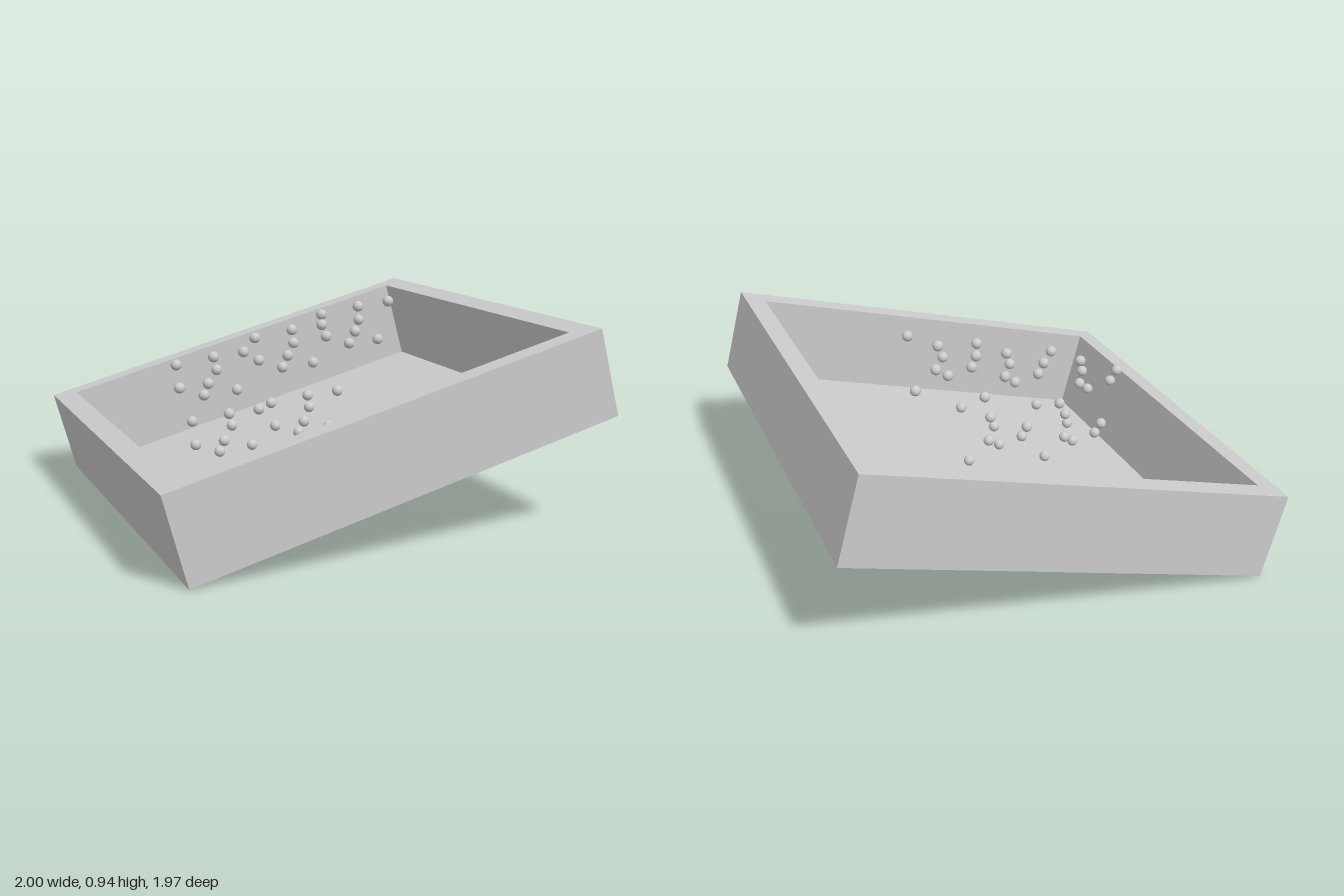
import * as THREE from 'three';

export function createModel() {
  const model = new THREE.Group();
  const material = new THREE.MeshStandardMaterial({ color: 0xcccccc });
  const L = 1.965, H = 0.393, wall = 0.098, floorT = 0.01;

  // Square outline centred on the origin
  const square = (PathType, size) => {
    const h = size / 2;
    return new PathType([[-h, -h], [h, -h], [h, h], [-h, h]].map(([x, y]) => new THREE.Vector2(x, y)));
  };

  // Open tray, tilted 15 degrees about its low edge
  const tray = new THREE.Group();
  tray.name = 'tray';
  tray.position.x = -0.898;
  tray.rotation.z = Math.PI / 12;
  model.add(tray);

  const rim = square(THREE.Shape, L);
  rim.holes.push(square(THREE.Path, L - 2 * wall));
  const wallGeo = new THREE.ExtrudeGeometry(rim, { depth: H - floorT, bevelEnabled: false });
  wallGeo.rotateX(-Math.PI / 2).translate(L / 2, floorT, 0);
  const walls = new THREE.Mesh(wallGeo, material);
  walls.name = 'trayWalls';

  const floor = new THREE.Mesh(new THREE.BoxGeometry(L, floorT, L), material);
  floor.name = 'trayFloor';
  floor.position.set(L / 2, floorT / 2, 0);
  tray.add(walls, floor);

  // One cluster of eight small balls, repeated at five places
  const cluster = [
    [-0.62, 0.66, -0.08], [-0.43, 0.625, -0.08],
    [-0.63, 0.57, 0], [-0.47, 0.70, 0],
    [-0.525, 0.60, 0.09], [-0.36, 0.73, 0.09],
    [-0.34, 0.53, -0.06], [-0.525, 0.535, 0.025],
  ];
  const offsets = [[0, 0], [0.07, -0.265], [0.375, 0.10], [0.453, -0.21], [0.705, 0.19]];
  const ballGeo = new THREE.SphereGeometry(0.0245, 24, 16);
  offsets.forEach(([dx, dy], i) => {
    const group = new THREE.Group();
    group.name = `ballCluster${i + 1}`;
    group.position.set(dx, dy, 0);
    for (const p of cluster) {
      const ball = new THREE.Mesh(ballGeo, material);
      ball.name = 'ball';
      ball.position.set(...p);
      group.add(ball);
    }
    model.add(group);
  });

  return model;
}
